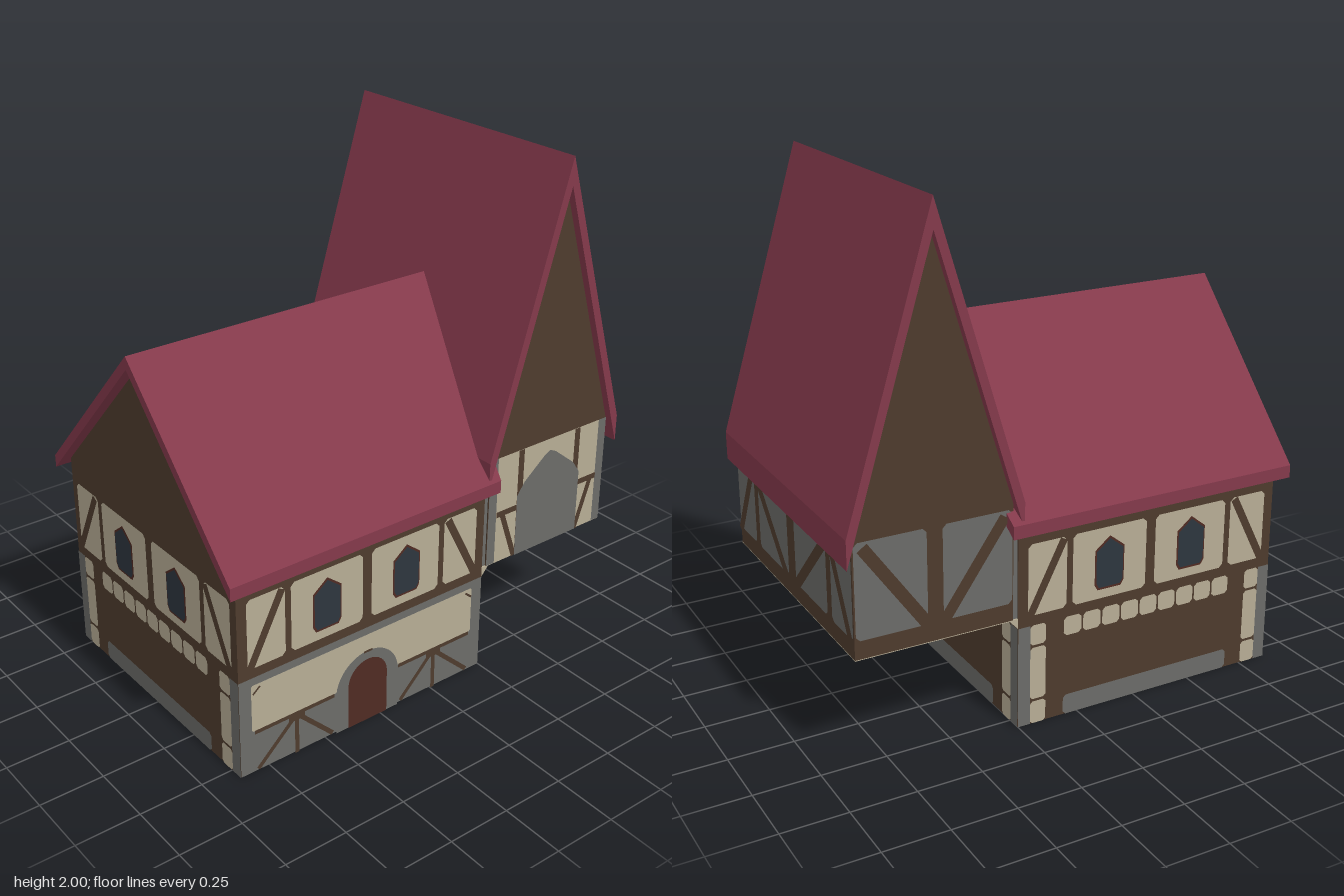
import * as THREE from 'three';

const mat = (name, color) => new THREE.MeshStandardMaterial({ name, color });

export function createModel() {
  const roofRed = mat('roof red', 0x84394b), timber = mat('timber brown', 0x4e3b2d);
  const plaster = mat('plaster beige', 0xb7ad95), stone = mat('stone grey', 0x6b6b68);
  const glass = mat('window glass', 0x2d363e), doorRed = mat('door red brown', 0x502b23);
  const model = new THREE.Group();

  const add = (parent, name, geo, material) => {
    const m = new THREE.Mesh(geo, material);
    m.name = name;
    parent.add(m);
    return m;
  };
  const poly = (pts) => new THREE.Shape(pts.map((p) => new THREE.Vector2(p[0], p[1])));
  const extrude = (shape, depth) => new THREE.ExtrudeGeometry(shape, { depth, bevelEnabled: false });

  // A wall is a group whose local xy plane is the facade
  const wall = (name, x, z, angle) => {
    const g = new THREE.Group();
    g.name = name;
    g.position.set(x, 0, z);
    g.rotation.y = angle;
    model.add(g);
    return g;
  };
  // Painted face lying on a wall, at a given layer
  const face = (g, name, pts, material, layer = 1) => {
    const m = add(g, name, new THREE.ShapeGeometry(Array.isArray(pts) ? poly(pts) : pts, 12), material);
    m.position.z = layer * 0.002;
  };
  // Rectangle with clipped corners
  const panel = (g, name, x0, x1, y0, y1, material, layer = 1, c = 0) => {
    face(g, name, c === 0
      ? [[x0, y0], [x1, y0], [x1, y1], [x0, y1]]
      : [[x0 + c, y0], [x1 - c, y0], [x1, y0 + c], [x1, y1 - c], [x1 - c, y1], [x0 + c, y1], [x0, y1 - c], [x0, y0 + c]],
    material, layer);
  };
  // Straight timber between two points
  const beam = (g, ax, ay, bx, by, w, layer = 3) => {
    const l = Math.hypot(bx - ax, by - ay), nx = -(by - ay) / l * w / 2, ny = (bx - ax) / l * w / 2;
    face(g, 'beam', [[ax - nx, ay - ny], [bx - nx, by - ny], [bx + nx, by + ny], [ax + nx, ay + ny]], timber, layer);
  };
  const archShape = (x, r, y0, spring) => {
    const s = new THREE.Shape();
    s.moveTo(x - r, y0);
    s.lineTo(x + r, y0);
    s.lineTo(x + r, spring);
    s.absarc(x, spring, r, 0, Math.PI, false);
    return s;
  };

  // House body
  const lower = add(model, 'lowerStorey', new THREE.BoxGeometry(1.12, 0.4, 1.11),
    [timber, timber, timber, plaster, stone, timber]);
  lower.position.set(-0.31, 0.2, 0);
  const upper = add(model, 'upperStoreyAndGable', extrude(
    poly([[-0.555, 0.4], [0.555, 0.4], [0.555, 0.81], [0, 1.385], [-0.555, 0.81]]), 1.12).rotateY(Math.PI / 2), timber);
  upper.position.x = -0.87;

  // House roof, its inner end running in under the tall roof
  const chevron = (w, eave, ridge, t) => poly(
    [[-w, eave - t], [0, ridge - t], [w, eave - t], [w, eave], [0, ridge], [-w, eave]]);
  const roofGeo = extrude(chevron(0.595, 0.82, 1.44, 0.05), 1.205).rotateY(Math.PI / 2).translate(-0.915, 0, 0);
  const pos = roofGeo.attributes.position;
  for (let i = 0; i < pos.count; i++) {
    if (pos.getX(i) > 0.2) pos.setX(i, 0.29 + 0.125 * (1 - Math.abs(pos.getZ(i)) / 0.595));
  }
  roofGeo.computeVertexNormals();
  add(model, 'houseRoof', roofGeo, roofRed);

  // Raised wing, its roof and underside
  const wing = add(model, 'wingBody', extrude(
    poly([[-0.305, 0.44], [0.305, 0.44], [0.305, 0.89], [0, 1.892], [-0.305, 0.89]]), 1.11), timber);
  wing.position.set(0.575, 0, -0.555);
  const wingRoof = add(model, 'wingRoof', extrude(chevron(0.335, 0.9, 2, 0.11), 1.17), roofRed);
  wingRoof.position.set(0.575, 0, -0.585);
  const floor = add(model, 'wingUnderside', new THREE.BoxGeometry(0.61, 0.004, 1.11), plaster);
  floor.position.set(0.575, 0.439, 0);
  const haunch = add(model, 'wingHaunch', extrude(poly([[0.25, 0.4], [0.285, 0.44], [0.25, 0.44]]), 1.11), plaster);
  haunch.position.z = -0.555;
  const joint = add(model, 'wallJoint', new THREE.BoxGeometry(0.05, 0.37, 1.1), stone);
  joint.position.set(0.27, 0.626, 0);

  // Upper storey: two windowed panels between braced ones
  const upperWall = (g) => {
    for (const s of [-1, 1]) {
      panel(g, 'bracedPanel', s > 0 ? 0.36 : -0.52, s > 0 ? 0.52 : -0.36, 0.44, 0.72, plaster, 1, 0.015);
      beam(g, s * 0.515, 0.44, s * 0.375, 0.715, 0.032);
      panel(g, 'windowPanel', s > 0 ? 0.02 : -0.335, s > 0 ? 0.335 : -0.02, 0.44, 0.72, plaster, 1, 0.015);
      const pane = (k) => [[-0.045, 0.485], [0.045, 0.485], [0.057, 0.505], [0.057, 0.63], [0, 0.675], [-0.057, 0.63], [-0.057, 0.505]]
        .map(([x, y]) => [s * 0.18 + x * k, 0.575 + (y - 0.575) * k]);
      face(g, 'windowFrame', pane(1.1), doorRed, 2);
      face(g, 'windowPane', pane(1), glass, 3);
    }
  };
  // Lower storey at the sides and back
  const lowerWall = (g, w) => {
    panel(g, 'stoneFooting', -0.37, 0.37, 0, 0.08, stone, 1, 0.012);
    for (let i = 0; i < 9; i++) {
      const x = -0.37 + i * 0.0825;
      panel(g, 'friezePanel', x, x + 0.075, 0.325, 0.4, plaster, 1, 0.012);
    }
    for (const s of [-1, 1]) {
      const a = s * (w - 0.05), b = s * (w - 0.115);
      panel(g, 'cornerStone', Math.min(s * w, a), Math.max(s * w, a), 0, 0.4, stone);
      for (const [y0, y1] of [[0, 0.09], [0.1, 0.31], [0.32, 0.4]]) {
        panel(g, 'edgePlaster', Math.min(a, b), Math.max(a, b), y0, y1, plaster, 1, 0.01);
      }
    }
  };
  const front = wall('frontWall', -0.31, 0.555, 0);
  const back = wall('backWall', -0.31, -0.555, Math.PI);
  const left = wall('gableWall', -0.87, 0, -Math.PI / 2);
  const inner = wall('underWingWall', 0.25, 0, Math.PI / 2);
  [front, back, left].forEach(upperWall);
  lowerWall(back, 0.56);
  lowerWall(left, 0.555);
  lowerWall(inner, 0.555);

  // Front ground floor: plaster band, rail, braces and arched door
  panel(front, 'plasterBand', -0.51, 0.51, 0.175, 0.37, plaster, 1, 0.006);
  for (const s of [-1, 1]) {
    beam(front, s * 0.15, 0.17, s * 0.5, 0.17, 0.016, 2);
    beam(front, s * 0.32, 0, s * 0.32, 0.165, 0.018);
    beam(front, s * 0.34, 0.15, s * 0.49, 0.01, 0.018);
    beam(front, s * 0.3, 0.15, s * 0.16, 0.01, 0.018);
    beam(front, s * 0.285, 0.155, s * 0.355, 0.155, 0.025);
    beam(front, s * 0.505, 0.335, s * 0.475, 0.36, 0.008);
  }
  face(front, 'doorArch', archShape(0, 0.145, 0, 0.16), stone, 4);
  face(front, 'door', archShape(0, 0.09, 0, 0.18), doorRed, 5);
  panel(front, 'keystoneLine', -0.02, 0.02, 0.3, 0.309, timber, 5);

  // Wing front with a blind pointed arch
  const wingFront = wall('wingFront', 0.575, 0.555, 0);
  panel(wingFront, 'plaster', -0.265, 0.265, 0.44, 0.89, plaster);
  for (const s of [-1, 1]) {
    panel(wingFront, 'cornerStone', s > 0 ? 0.265 : -0.305, s > 0 ? 0.305 : -0.265, 0.44, 0.89, stone);
    beam(wingFront, s * 0.148, 0.44, s * 0.148, 0.89, 0.028, 2);
    beam(wingFront, s * 0.15, 0.648, s * 0.265, 0.648, 0.024, 2);
    beam(wingFront, s * 0.235, 0.64, s * 0.165, 0.44, 0.024, 2);
  }
  face(wingFront, 'blindArch',
    [[-0.165, 0.44], [0.165, 0.44], [0.165, 0.7], [0.13, 0.75], [0.03, 0.83], [0, 0.845], [-0.03, 0.83], [-0.13, 0.75], [-0.165, 0.7]],
    stone, 4);

  // Wing outer side: stone infill and slanting braces
  const side = wall('wingSide', 0.88, 0, Math.PI / 2);
  for (const s of [-1, 1]) {
    const span = (a, b) => panel(side, 'infill', Math.min(s * a, s * b), Math.max(s * a, s * b), 0.51, 0.86, stone, 1, 0.015);
    span(0.035, 0.33);
    span(0.37, 0.55);
    beam(side, s * 0.04, 0.5, s * 0.33, 0.79, 0.045);
    beam(side, s * 0.54, 0.5, s * 0.385, 0.79, 0.04);
  }
  // Wing back
  const wingBack = wall('wingBack', 0.575, -0.555, Math.PI);
  for (const s of [-1, 1]) {
    panel(wingBack, 'infill', s > 0 ? 0.03 : -0.3, s > 0 ? 0.3 : -0.03, 0.51, 0.87, stone, 1, 0.015);
    beam(wingBack, s * 0.03, 0.51, s * 0.27, 0.85, 0.045);
  }
  return model;
}
